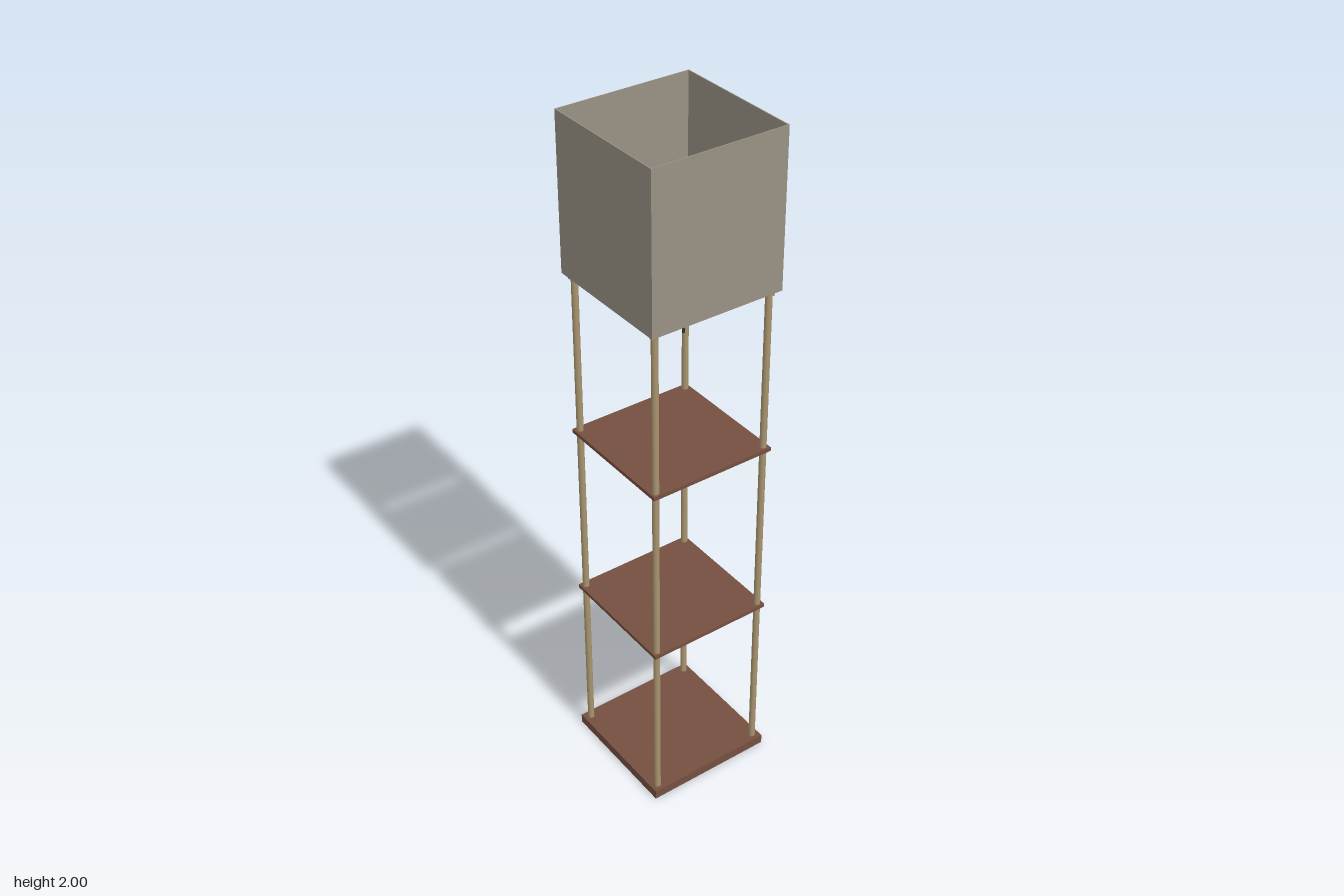
import * as THREE from 'three';

export function createModel() {
  const root = new THREE.Group();
  const material = (name, color, side = THREE.FrontSide) => {
    const m = new THREE.MeshStandardMaterial({ color, side });
    m.name = name;
    return m;
  };
  const fabric = material('shade fabric', 0x989184, THREE.DoubleSide);
  const brown = material('brown wood', 0x754f3f);
  const tan = material('tan wood', 0xa8946f);
  const metal = material('grey metal', 0x8c8a86);
  const dark = material('dark metal', 0x35312d);

  const add = (name, geometry, mat, x = 0, y = 0, z = 0) => {
    const mesh = new THREE.Mesh(geometry, mat);
    mesh.name = name;
    mesh.position.set(x, y, z);
    root.add(mesh);
    return mesh;
  };
  const box = (w, h, d) => new THREE.BoxGeometry(w, h, d);
  const rod = (r, h, n = 16) => new THREE.CylinderGeometry(r, r, h, n);
  const tube = (points, r) => new THREE.TubeGeometry(
    new THREE.CatmullRomCurve3(points.map(p => new THREE.Vector3(...p))), 16, r, 8);
  const square = (shape, s) => shape.moveTo(-s, -s).lineTo(s, -s).lineTo(s, s).lineTo(-s, s).closePath();

  // Base and shelves
  add('base', box(0.388, 0.028, 0.388), brown, 0, 0.014);
  for (const y of [0.54, 1.08]) add('shelf', box(0.376, 0.011, 0.376), brown, 0, y);

  // Four posts, diagonal arms and arched shade hangers
  for (const sx of [-1, 1]) for (const sz of [-1, 1]) {
    add('post', rod(0.0095, 1.535), tan, sx * 0.173, 0.7955, sz * 0.173);
    const arm = add('arm', box(0.235, 0.014, 0.02), tan, sx * 0.1, 1.556, sz * 0.1);
    arm.rotation.y = Math.atan2(-sz, sx);
    add('shadeHanger', tube([
      [0, 1.628, 0], [sx * 0.07, 1.62, sz * 0.07],
      [sx * 0.14, 1.597, sz * 0.14], [sx * 0.191, 1.567, sz * 0.191],
    ], 0.004), metal);
  }

  // Open square shade
  const outline = new THREE.Shape();
  square(outline, 0.196);
  const hole = new THREE.Path();
  square(hole, 0.193);
  outline.holes.push(hole);
  const shade = new THREE.ExtrudeGeometry(outline, { depth: 0.44, bevelEnabled: false });
  shade.rotateX(-Math.PI / 2);
  add('shade', shade, fabric, 0, 1.56);

  // Lamp holder with socket and bulb
  add('lampHolder', box(0.092, 0.036, 0.092), tan, 0, 1.541);
  add('socketBase', rod(0.014, 0.014), dark, 0, 1.518);
  add('socket', rod(0.014, 0.06), metal, 0, 1.585);
  const bulb = new THREE.LatheGeometry([
    [0, 1.6], [0.013, 1.6], [0.015, 1.615], [0.024, 1.632], [0.028, 1.648],
    [0.024, 1.663], [0.014, 1.673], [0, 1.676],
  ].map(p => new THREE.Vector2(...p)), 24);
  add('bulb', bulb, metal);

  // Pull switch
  add('switchArm', tube([[0.04, 1.545, 0], [0.05, 1.543, 0], [0.054, 1.53, 0], [0.054, 1.48, 0]], 0.0017), dark);
  add('pullHandle', new THREE.CylinderGeometry(0.002, 0.004, 0.045, 10), dark, 0.054, 1.462);

  return root;
}
